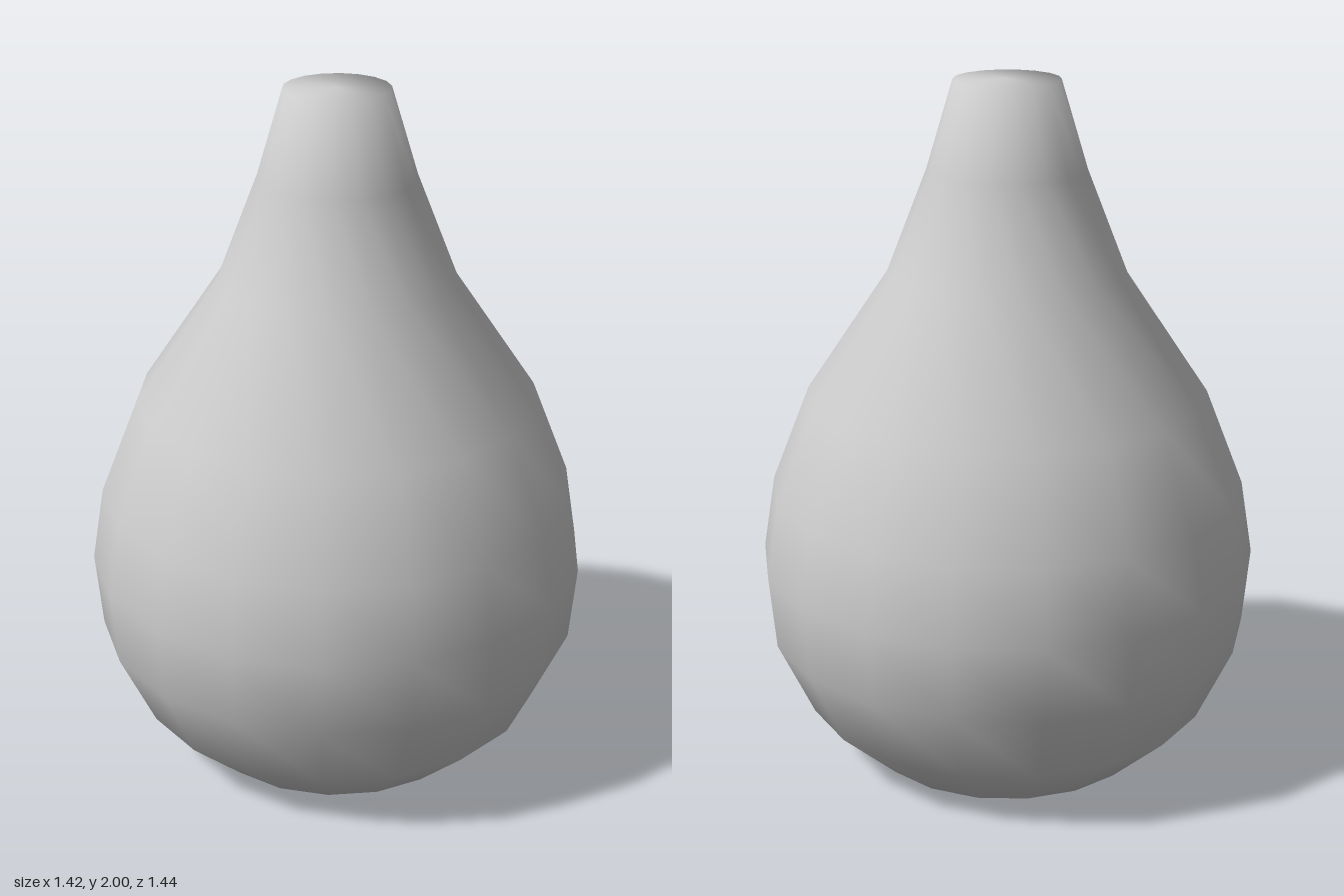
import * as THREE from 'three';

export function createModel() {
  const group = new THREE.Group();

  // Closed pear-shaped profile (radius, height), from the base centre to the top centre
  const profile = [
    [0, 0], [0.415, 0], [0.595, 0.165], [0.7, 0.39], [0.72, 0.61], [0.685, 0.825],
    [0.575, 1.105], [0.34, 1.455], [0.225, 1.75], [0.15, 2], [0, 2],
  ].map(([r, y]) => new THREE.Vector2(r, y));

  // Eighteen-sided smooth body with flat ends
  const body = new THREE.Mesh(
    new THREE.LatheGeometry(profile, 18),
    new THREE.MeshStandardMaterial({ color: 0xcccccc })
  );
  body.name = 'pearBody';
  group.add(body);
  return group;
}
